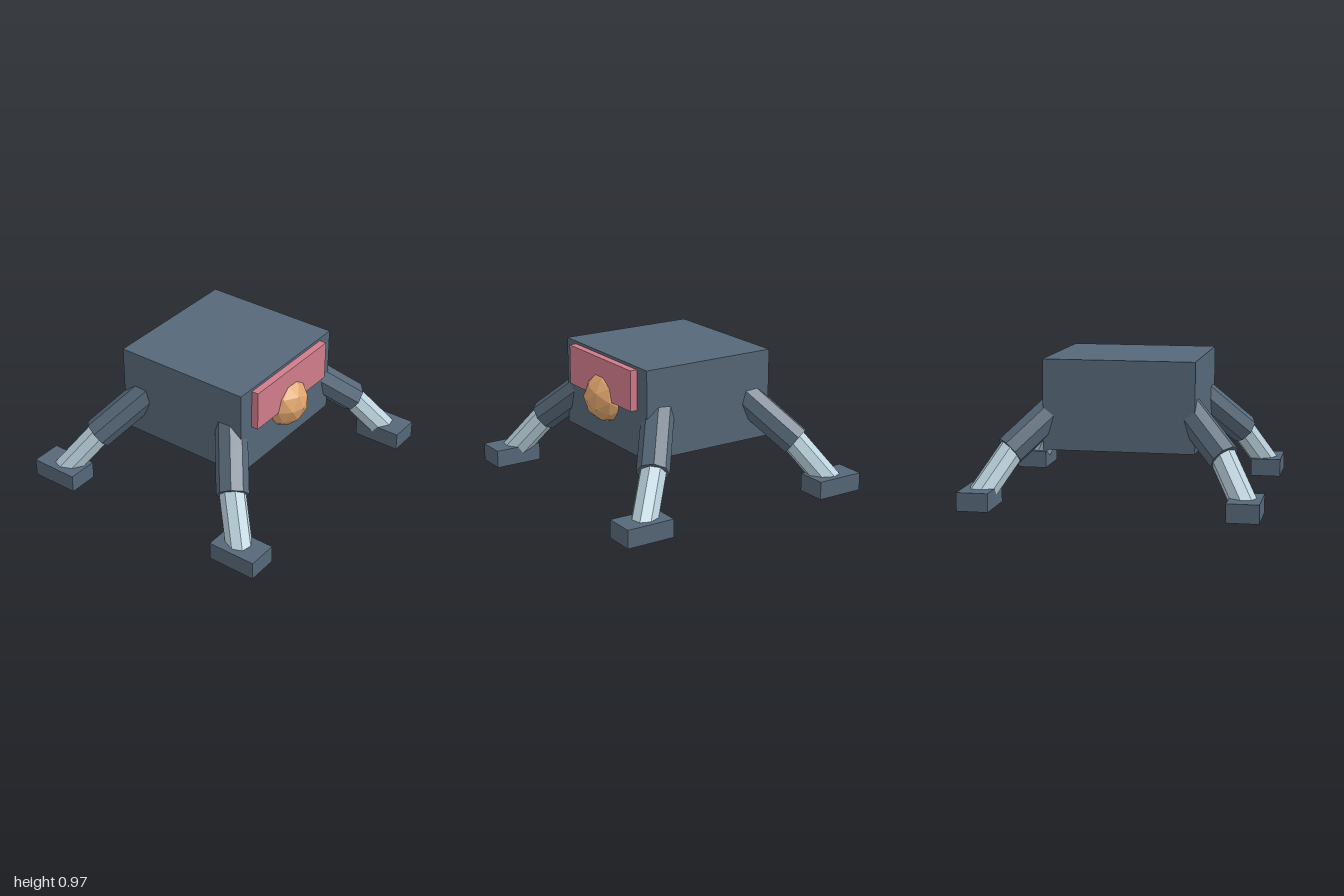
import * as THREE from 'three';

function material(name, color) {
  const m = new THREE.MeshStandardMaterial({ color, flatShading: true });
  m.name = name;
  return m;
}

export function createModel() {
  const group = new THREE.Group();
  const slate = material('slate', 0x566778);
  const steel = material('paleSteel', 0xbcd3de);
  const pink = material('pink', 0xd07c8b);
  const tan = material('tan', 0xdea46c);

  function add(name, geometry, mat, parent = group) {
    const mesh = new THREE.Mesh(geometry, mat);
    mesh.name = name;
    parent.add(mesh);
    return mesh;
  }

  // Box given by its minimum and maximum corners
  function box(name, min, max, mat, parent) {
    const size = max.map((v, i) => v - min[i]);
    const mesh = add(name, new THREE.BoxGeometry(...size), mat, parent);
    mesh.position.set(...max.map((v, i) => (v + min[i]) / 2));
    return mesh;
  }

  // Eight-sided rod between two points
  function rod(name, a, b, radius, mat, parent) {
    const dir = b.clone().sub(a);
    const mesh = add(name, new THREE.CylinderGeometry(radius, radius, dir.length(), 8), mat, parent);
    mesh.position.copy(a).add(b).multiplyScalar(0.5);
    mesh.quaternion.setFromUnitVectors(new THREE.Vector3(0, 1, 0), dir.normalize());
    return mesh;
  }

  // Body and face panel
  box('body', [-0.52, 0.35, -0.5], [0.52, 0.97, 0.495], slate);
  box('facePanel', [-0.4, 0.67, 0.45], [0.4, 0.95, 0.545], pink);

  // Faceted nose with one vertex pointing straight ahead
  const ball = new THREE.IcosahedronGeometry(0.18, 1);
  ball.rotateX(Math.atan(2 / (1 + Math.sqrt(5))));
  ball.rotateZ(-Math.PI / 2);
  add('nose', ball, tan).position.set(0, 0.665, 0.465);

  // Four splayed legs, mirrored left-right and front-back
  for (const sx of [1, -1]) {
    for (const sz of [1, -1]) {
      const leg = new THREE.Group();
      leg.name = (sz > 0 ? 'front' : 'back') + (sx > 0 ? 'Left' : 'Right') + 'Leg';
      group.add(leg);
      const p = (x, y, z) => new THREE.Vector3(sx * x, y, sz * z);
      rod('upperLeg', p(0.37, 0.71, 0.302), p(0.73, 0.35, 0.585), 0.11, slate, leg);
      rod('lowerLeg', p(0.693, 0.4, 0.548), p(0.897, 0.06, 0.769), 0.09, steel, leg);
      const foot = box('foot', [0.785, 0, 0.6], [1, 0.126, 0.945], slate, leg);
      foot.position.x *= sx;
      foot.position.z *= sz;
    }
  }
  return group;
}
